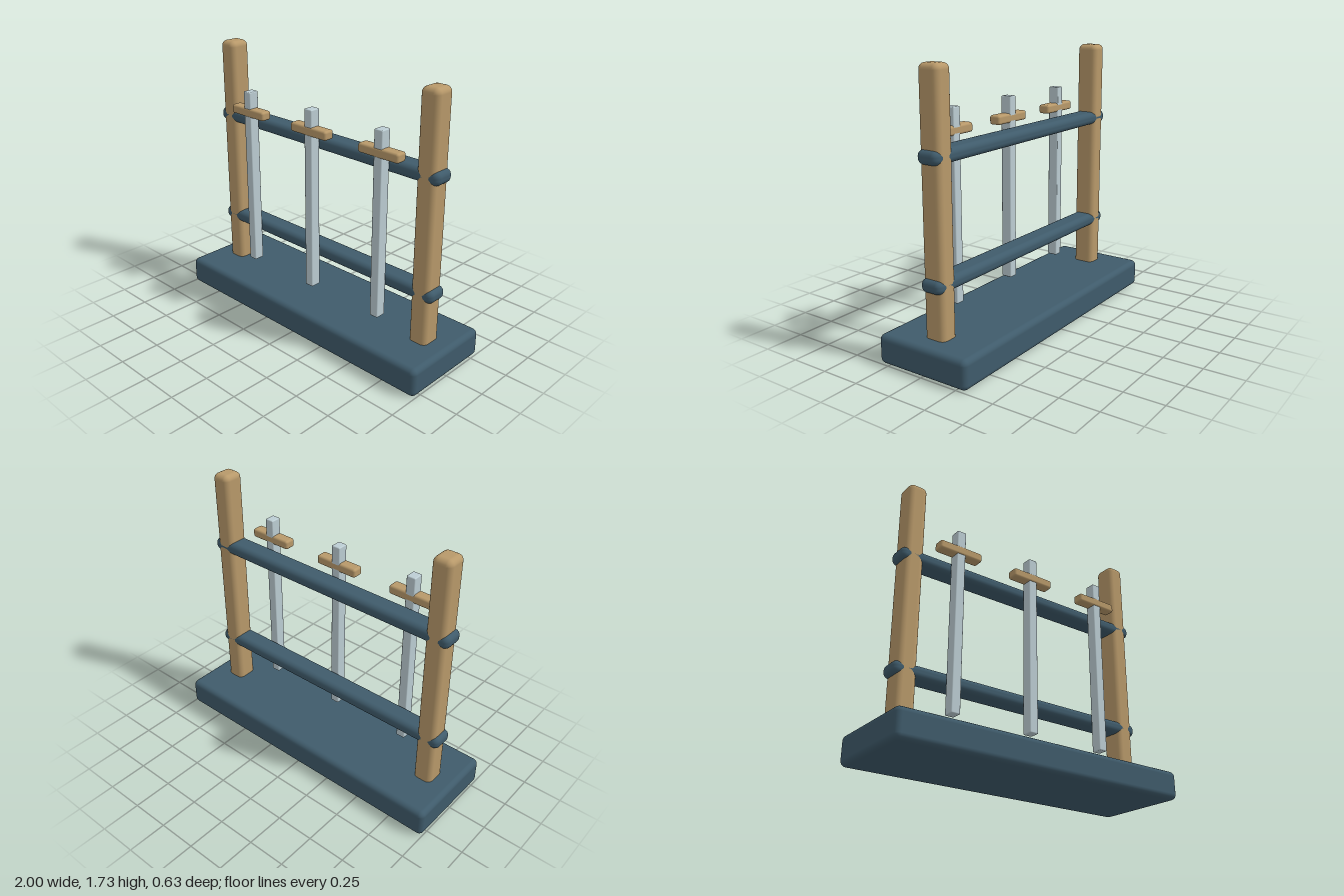
import * as THREE from 'three';
import { RoundedBoxGeometry } from 'three/addons/geometries/RoundedBoxGeometry.js';

const material = (color) => new THREE.MeshStandardMaterial({ color });

// Rounded block given by its size, centre and edge radius
function block(name, size, centre, radius, mat) {
  const mesh = new THREE.Mesh(new RoundedBoxGeometry(...size, 3, radius), mat);
  mesh.name = name;
  mesh.position.set(...centre);
  return mesh;
}

export function createModel() {
  const rack = new THREE.Group();
  rack.name = 'swordRack';
  const slate = material(0x3f5b6b);
  const wood = material(0xb8996a);
  const steel = material(0xbccdd3);

  // Heavy base
  rack.add(block('base', [2, 0.182, 0.635], [0, 0.091, 0], 0.035, slate));

  // Upright posts, sunk a little into the base
  for (const [name, side] of [['leftPost', 1], ['rightPost', -1]]) {
    rack.add(block(name, [0.125, 1.62, 0.143], [side * 0.818, 0.92, 0], 0.036, wood));
  }

  // Cross rails running through the posts
  for (const [name, y] of [['lowerRail', 0.502], ['upperRail', 1.23]]) {
    rack.add(block(name, [1.814, 0.084, 0.143], [0, y, 0], 0.036, slate));
  }

  // Three swords hanging in front of the rails
  [-0.546, 0, 0.546].forEach((x, i) => {
    const sword = new THREE.Group();
    sword.name = `sword${i + 1}`;
    sword.position.x = x;
    sword.add(
      block('blade', [0.06, 1.18, 0.07], [0, 0.868, 0.11], 0.007, steel),
      block('guard', [0.294, 0.058, 0.075], [0, 1.322, 0.112], 0.015, wood),
    );
    rack.add(sword);
  });

  return rack;
}
